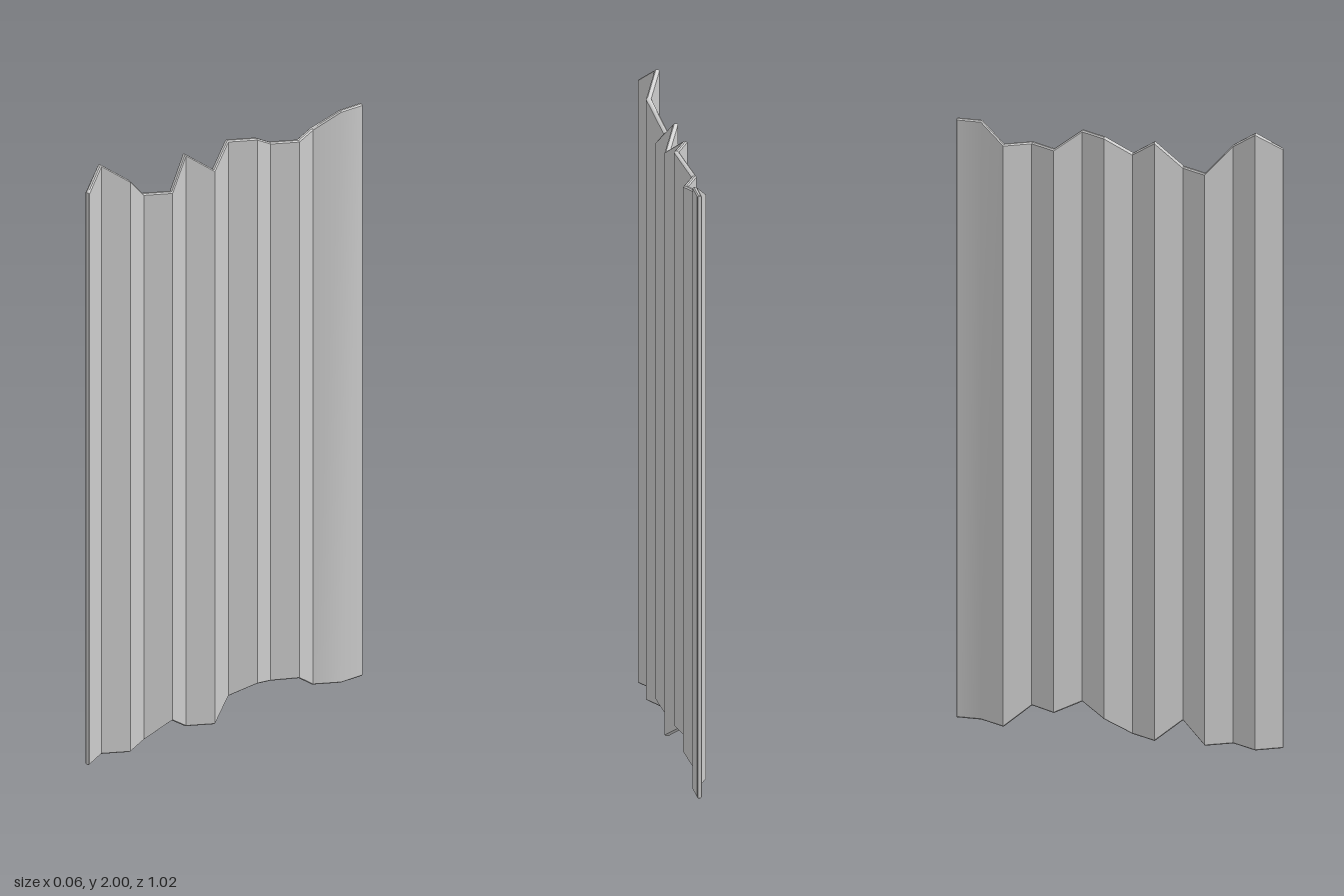
import * as THREE from 'three';
import { toCreasedNormals } from 'three/addons/utils/BufferGeometryUtils.js';

const HALF = 0.0071; // half the sheet thickness
const BEVEL = 0.004;

// Ragged heights at each fold, from front (+z) to back (-z)
const TOPS = [1.945, 2.0, 1.94, 1.855, 1.855, 1.942, 1.882, 1.942, 1.942, 1.888, 1.888, 1.888, 1.942, 1.942];
const BOTTOMS = [0, 0, 0, 0, 0.06, 0, 0, 0.055, 0.09, 0.06, 0.062, 0, 0, 0];

// Bevelled rectangular section of the sheet: [side offset, height]
function section(bottom, top, h, b) {
  return [
    [h, bottom + b], [h, top - b], [h - b, top], [b - h, top],
    [-h, top - b], [-h, bottom + b], [b - h, bottom], [h - b, bottom],
  ];
}

function corrugatedGeometry() {
  const last = TOPS.length - 1;

  // Zigzag centre line in plan; the last panel runs straight back
  const path = TOPS.map((_, i) => new THREE.Vector2(
    i % 2 === 0 || i === last ? 0.02 : -0.02,
    0.51 - (i * 1.02) / last,
  ));
  path[0].y -= 0.003;

  const dirs = path.slice(1).map((p, i) => p.clone().sub(path[i]).normalize());
  const normals = dirs.map((d) => new THREE.Vector2(-d.y, d.x));

  const ringAt = (centre, side, profile) =>
    profile.map(([o, y]) => [centre.x + side.x * o, y, centre.y + side.y * o]);

  // One mitred ring per fold, plus a smaller ring to bevel each end
  const rings = [];
  path.forEach((p, i) => {
    const a = normals[Math.max(i - 1, 0)];
    const b = normals[Math.min(i, last - 1)];
    const side = a.clone().add(b).normalize();
    side.divideScalar(side.dot(a));
    const profile = section(BOTTOMS[i], TOPS[i], HALF, BEVEL);
    const end = section(BOTTOMS[i] + BEVEL / 2, TOPS[i] - BEVEL / 2, HALF - BEVEL / 2, BEVEL / 2);
    if (i === 0) {
      rings.push(ringAt(p, side, end));
      rings.push(ringAt(p.clone().addScaledVector(dirs[0], BEVEL / 2), side, profile));
    } else if (i === last) {
      rings.push(ringAt(p.clone().addScaledVector(dirs[last - 1], -BEVEL / 2), side, profile));
      rings.push(ringAt(p, side, end));
    } else {
      rings.push(ringAt(p, side, profile));
    }
  });

  // Skin the rings and close both ends
  const positions = [];
  const tri = (a, b, c) => positions.push(...a, ...b, ...c);
  const n = rings[0].length;
  for (let i = 0; i < rings.length - 1; i++) {
    for (let j = 0; j < n; j++) {
      const k = (j + 1) % n;
      const a = rings[i][j], b = rings[i][k], c = rings[i + 1][k], d = rings[i + 1][j];
      tri(a, d, c);
      tri(a, c, b);
    }
  }
  const front = rings[0], back = rings[rings.length - 1];
  for (let j = 1; j < n - 1; j++) {
    tri(front[0], front[j], front[j + 1]);
    tri(back[0], back[j + 1], back[j]);
  }

  const geometry = new THREE.BufferGeometry();
  geometry.setAttribute('position', new THREE.Float32BufferAttribute(positions, 3));
  return toCreasedNormals(geometry, 0.6);
}

export function createModel() {
  const group = new THREE.Group();
  group.name = 'corrugatedPanel';

  // Folded sheet with ragged upper and lower edges
  const sheet = new THREE.Mesh(
    corrugatedGeometry(),
    new THREE.MeshStandardMaterial({ color: 0xcccccc }),
  );
  sheet.name = 'corrugatedSheet';
  group.add(sheet);
  return group;
}
